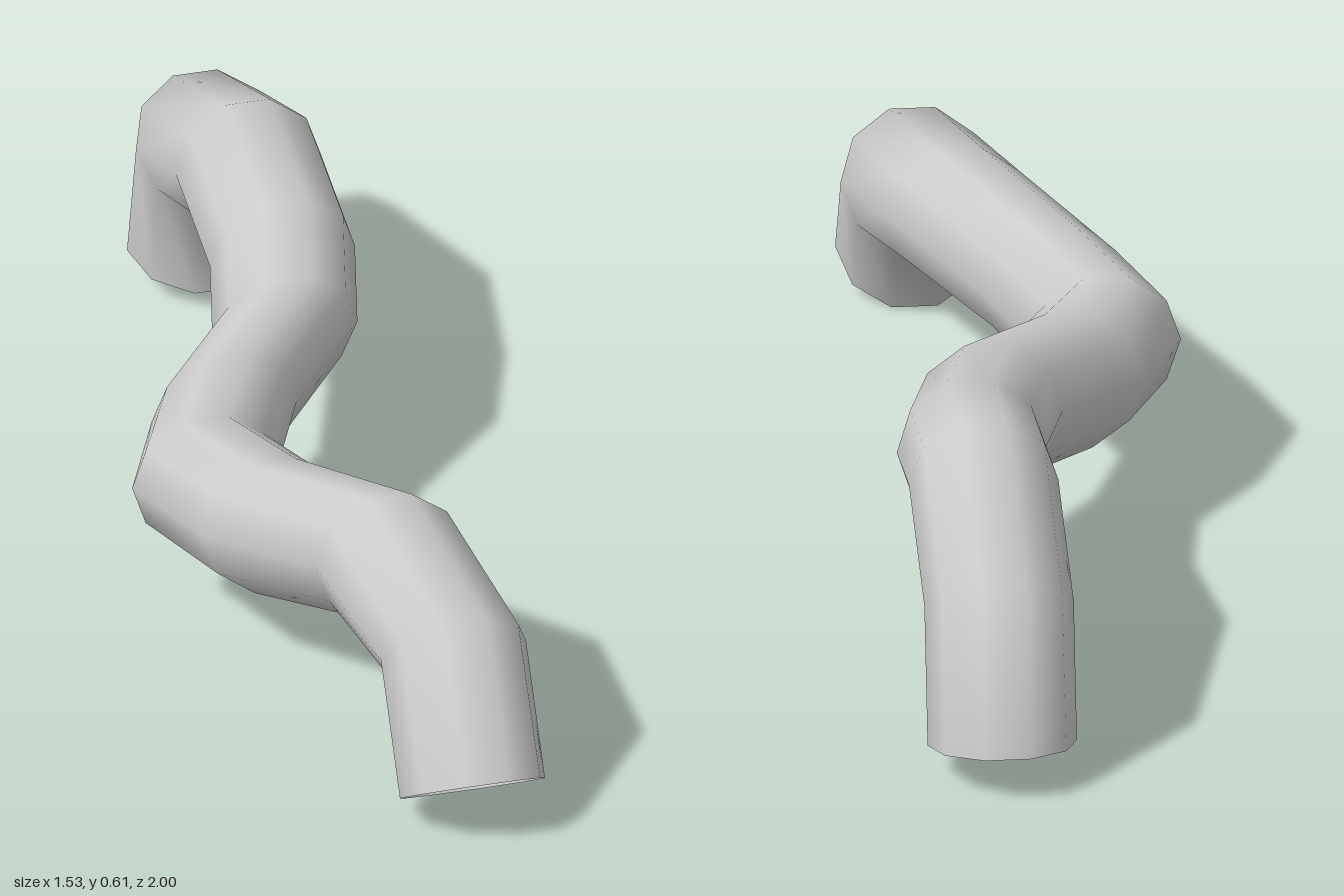
import * as THREE from 'three';

const SIDES = 10, RADIUS = 0.15;

// Centreline of the pipe, from the front mouth to the back mouth
const PATH = [
  [0.62, 0.08, 0.87], [0.53, 0.31, 0.74], [0.32, 0.375, 0.555], [0.04, 0.325, 0.455],
  [-0.16, 0.315, 0.325], [-0.2, 0.335, 0.11], [-0.17, 0.375, -0.155], [-0.255, 0.41, -0.365],
  [-0.405, 0.47, -0.57], [-0.58, 0.35, -0.805], [-0.62, 0.07, -0.86],
].map((p) => new THREE.Vector3(...p));

// Rings keep one fixed sideways axis and pitch only in the vertical plane along the pipe
const SIDE = new THREE.Vector3(0.816, 0, -0.578).normalize();

function ringUp(i) {
  const tangent = new THREE.Vector3();
  for (const [a, b] of [[i - 1, i], [i, i + 1]]) {
    if (a < 0 || b >= PATH.length) continue;
    const d = PATH[b].clone().sub(PATH[a]);
    tangent.add(d.addScaledVector(SIDE, -d.dot(SIDE)).normalize());
  }
  return tangent.cross(SIDE).normalize();
}

function pipeGeometry() {
  const positions = [], index = [];
  PATH.forEach((centre, i) => {
    const up = ringUp(i);
    for (let k = 0; k < SIDES; k++) {
      const a = (k / SIDES) * Math.PI * 2;
      const p = centre.clone()
        .addScaledVector(SIDE, RADIUS * Math.cos(a))
        .addScaledVector(up, RADIUS * Math.sin(a));
      positions.push(p.x, p.y, p.z);
      if (i === PATH.length - 1) continue;
      const here = i * SIDES + k, next = i * SIDES + ((k + 1) % SIDES);
      index.push(here, here + SIDES, next, next, here + SIDES, next + SIDES);
    }
  });
  const geometry = new THREE.BufferGeometry();
  geometry.setAttribute('position', new THREE.Float32BufferAttribute(positions, 3));
  geometry.setIndex(index);
  geometry.computeVertexNormals();
  return geometry;
}

export function createModel() {
  const group = new THREE.Group();
  group.name = 'bentPipe';
  // Open-ended pipe wall
  const pipe = new THREE.Mesh(
    pipeGeometry(),
    new THREE.MeshStandardMaterial({ color: 0xcccccc, side: THREE.DoubleSide }),
  );
  pipe.name = 'pipe';
  group.add(pipe);
  return group;
}
